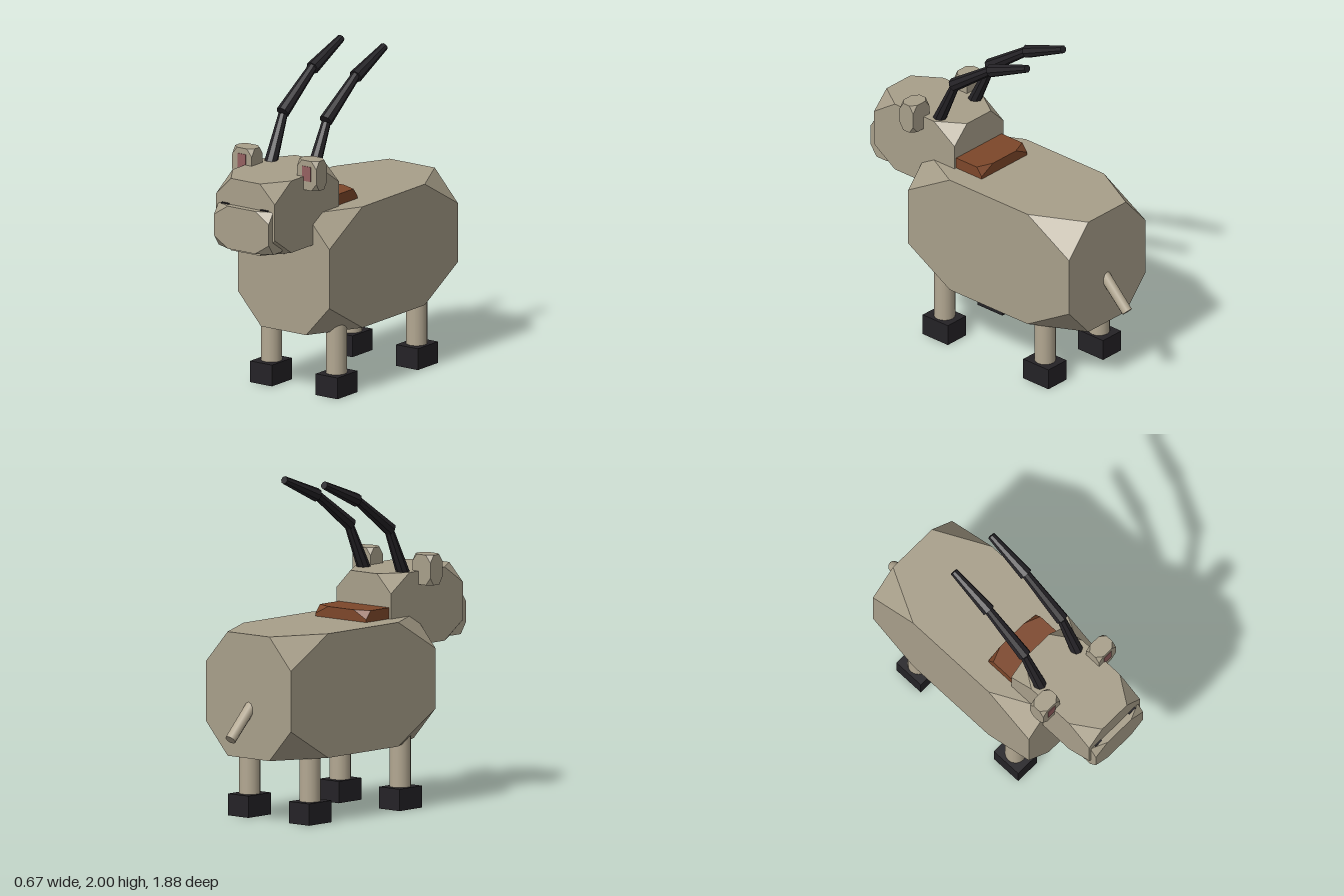
import * as THREE from 'three';
import { ConvexGeometry } from 'three/addons/geometries/ConvexGeometry.js';

const mat = (color) => new THREE.MeshStandardMaterial({ color, flatShading: true });
const hide = mat(0xa89f8a);
const legHide = new THREE.MeshStandardMaterial({ color: 0xb3a892 });
const dark = mat(0x242226);
const pink = mat(0x946060);
const brown = mat(0x7d472a);

function mesh(name, geometry, material, parent) {
  const m = new THREE.Mesh(geometry, material);
  m.name = name;
  parent.add(m);
  return m;
}

// Box between two corners, [x0,y0,z0] to [x1,y1,z1]
function box(min, max) {
  const size = max.map((v, i) => v - min[i]);
  return new THREE.BoxGeometry(...size).translate(...max.map((v, i) => (v + min[i]) / 2));
}

// Box with all eight corners sliced off; cut gives the length lost on each axis
function cutBox(min, max, cut) {
  const points = [];
  const half = max.map((v, i) => (v - min[i]) / 2);
  const mid = max.map((v, i) => (v + min[i]) / 2);
  for (const sx of [-1, 1]) for (const sy of [-1, 1]) for (const sz of [-1, 1]) {
    const s = [sx, sy, sz];
    for (let axis = 0; axis < 3; axis++) {
      const p = s.map((v, i) => mid[i] + v * (half[i] - (i === axis ? cut[i] : 0)));
      points.push(new THREE.Vector3(...p));
    }
  }
  return new ConvexGeometry(points);
}

// Tapered rod from a to b
function rod(a, b, ra, rb, sides) {
  const start = new THREE.Vector3(...a), end = new THREE.Vector3(...b);
  const dir = end.clone().sub(start);
  const g = new THREE.CylinderGeometry(rb, ra, dir.length(), sides);
  g.applyQuaternion(new THREE.Quaternion().setFromUnitVectors(new THREE.Vector3(0, 1, 0), dir.normalize()));
  const c = start.add(end).multiplyScalar(0.5);
  return g.translate(c.x, c.y, c.z);
}

export function createModel() {
  const model = new THREE.Group();
  model.name = 'hornedGoat';

  mesh('body', cutBox([-0.335, 0.39, -0.755], [0.335, 1.13, 0.525], [0.17, 0.19, 0.33]), hide, model);

  // Head and muzzle
  const head = new THREE.Group();
  head.name = 'head';
  model.add(head);
  mesh('skull', cutBox([-0.215, 0.95, 0.265], [0.215, 1.39, 0.905], [0.11, 0.11, 0.165]), hide, head);
  mesh('muzzle', cutBox([-0.2, 0.97, 0.77], [0.2, 1.23, 0.945], [0.1, 0.065, 0.045]), hide, head);

  // Wedge of throat under the jaw, narrowing to a point on the chest
  const v = (x, y, z) => new THREE.Vector3(x, y, z);
  mesh('throat', new ConvexGeometry([
    v(0, 0.85, 0.523), v(-0.06, 0.96, 0.5), v(0.06, 0.96, 0.5),
    v(-0.06, 0.96, 0.57), v(0.06, 0.96, 0.57), v(0, 0.9, 0.42),
  ]), hide, head);

  // Brown mane behind the head
  mesh('mane', cutBox([-0.2, 1.0, 0.062], [0.2, 1.197, 0.4], [0.1, 0.05, 0.04]), brown, model);

  for (const s of [1, -1]) {
    const side = s > 0 ? 'left' : 'right';
    const span = (a, b) => (s > 0 ? [a, b] : [-b, -a]);

    // Nostrils and ears
    const [n0, n1] = span(0.115, 0.17);
    mesh(side + 'Nostril', box([n0, 1.19, 0.88], [n1, 1.237, 0.915]), dark, head);
    const [e0, e1] = span(0.165, 0.308);
    mesh(side + 'Ear', cutBox([e0, 1.31, 0.51], [e1, 1.49, 0.618], [0.036, 0.045, 0.03]), hide, head);
    const [i0, i1] = span(0.207, 0.268);
    mesh(side + 'InnerEar', box([i0, 1.365, 0.6], [i1, 1.455, 0.621]), pink, head);

    // Horn of three tapered segments sweeping back
    const horn = new THREE.Group();
    horn.name = side + 'Horn';
    head.add(horn);
    const x = s * 0.158;
    mesh('hornBase', rod([x - s * 0.004, 1.36, 0.45], [x, 1.645, 0.315], 0.041, 0.028, 8), dark, horn);
    mesh('hornMiddle', rod([x, 1.655, 0.32], [x, 1.87, 0.015], 0.041, 0.028, 8), dark, horn);
    mesh('hornTip', rod([x, 1.86, 0.025], [x, 1.98, -0.262], 0.041, 0.024, 8), dark, horn);

    // Legs and hooves
    for (const [end, z] of [['Front', 0.323], ['Back', -0.477]]) {
      mesh(side + end + 'Leg',
        new THREE.CylinderGeometry(0.063, 0.063, 0.46, 16).translate(s * 0.238, 0.33, z), legHide, model);
      mesh(side + end + 'Hoof',
        box([s * 0.24 - 0.08, 0, z - 0.1], [s * 0.24 + 0.08, 0.13, z + 0.1]), dark, model);
    }
  }

  mesh('tail', rod([0, 0.73, -0.702], [0, 0.517, -0.915], 0.035, 0.033, 10), legHide, model);
  return model;
}
